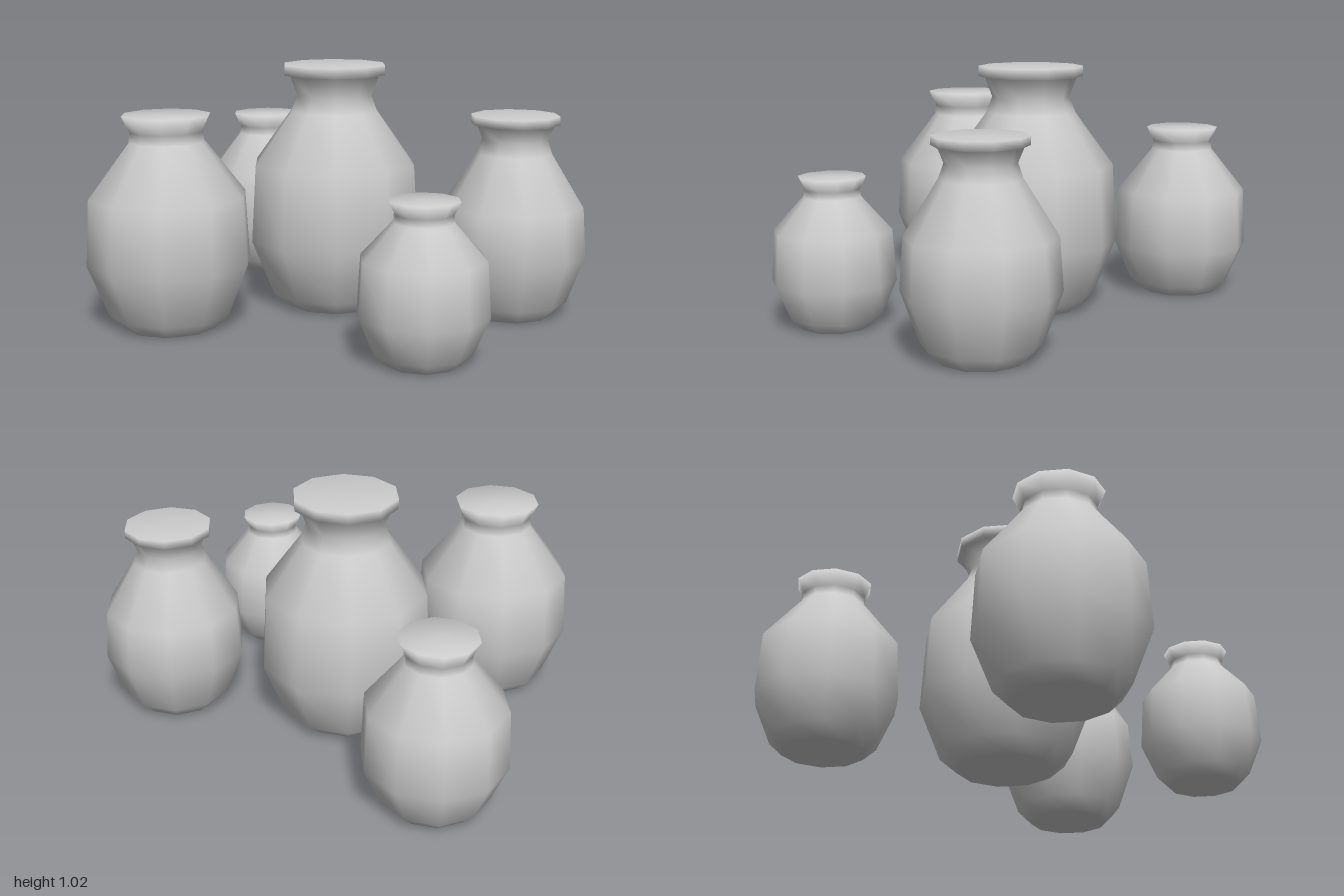
import * as THREE from 'three';

const clay = new THREE.MeshStandardMaterial({ color: 0xcccccc });
clay.name = 'plainClay';

// Ten-sided smooth vase turned from [radius, height] pairs, closed at base and mouth
function vase(name, x, z, profile) {
  const top = profile[profile.length - 1][1];
  const points = [[0, 0], ...profile, [0, top]].map(([r, y]) => new THREE.Vector2(r, y));
  const mesh = new THREE.Mesh(new THREE.LatheGeometry(points, 10), clay);
  mesh.name = name;
  mesh.position.set(x, 0, z);
  return mesh;
}

export function createModel() {
  const group = new THREE.Group();
  group.name = 'vaseGroup';
  group.add(
    // Tall middle vase with a collar
    vase('tallVase', -0.02, -0.045, [
      [0.2, 0], [0.27, 0.06], [0.362, 0.29], [0.343, 0.607], [0.185, 0.825],
      [0.16, 0.89], [0.192, 0.975], [0.216, 0.975], [0.216, 1.017],
    ]),
    // Medium vase with a collar
    vase('collaredVase', 0.708, 0.133, [
      [0.17, 0], [0.23, 0.06], [0.3, 0.255], [0.285, 0.457], [0.153, 0.67],
      [0.134, 0.725], [0.16, 0.79], [0.18, 0.79], [0.18, 0.825],
    ]),
    // Wide vase with a plain mouth
    vase('wideVase', -0.685, 0.255, [
      [0.19, 0], [0.247, 0.055], [0.33, 0.265], [0.315, 0.53], [0.15, 0.745],
      [0.146, 0.785], [0.177, 0.85],
    ]),
    // Rear vase with a plain mouth
    vase('rearVase', -0.32, -0.712, [
      [0.165, 0], [0.218, 0.05], [0.288, 0.21], [0.276, 0.45], [0.13, 0.633],
      [0.127, 0.668], [0.154, 0.727],
    ]),
    // Small front vase
    vase('smallVase', 0.28, 0.74, [
      [0.145, 0], [0.19, 0.045], [0.25, 0.185], [0.236, 0.39], [0.114, 0.525],
      [0.111, 0.555], [0.135, 0.605],
    ]),
  );
  return group;
}
